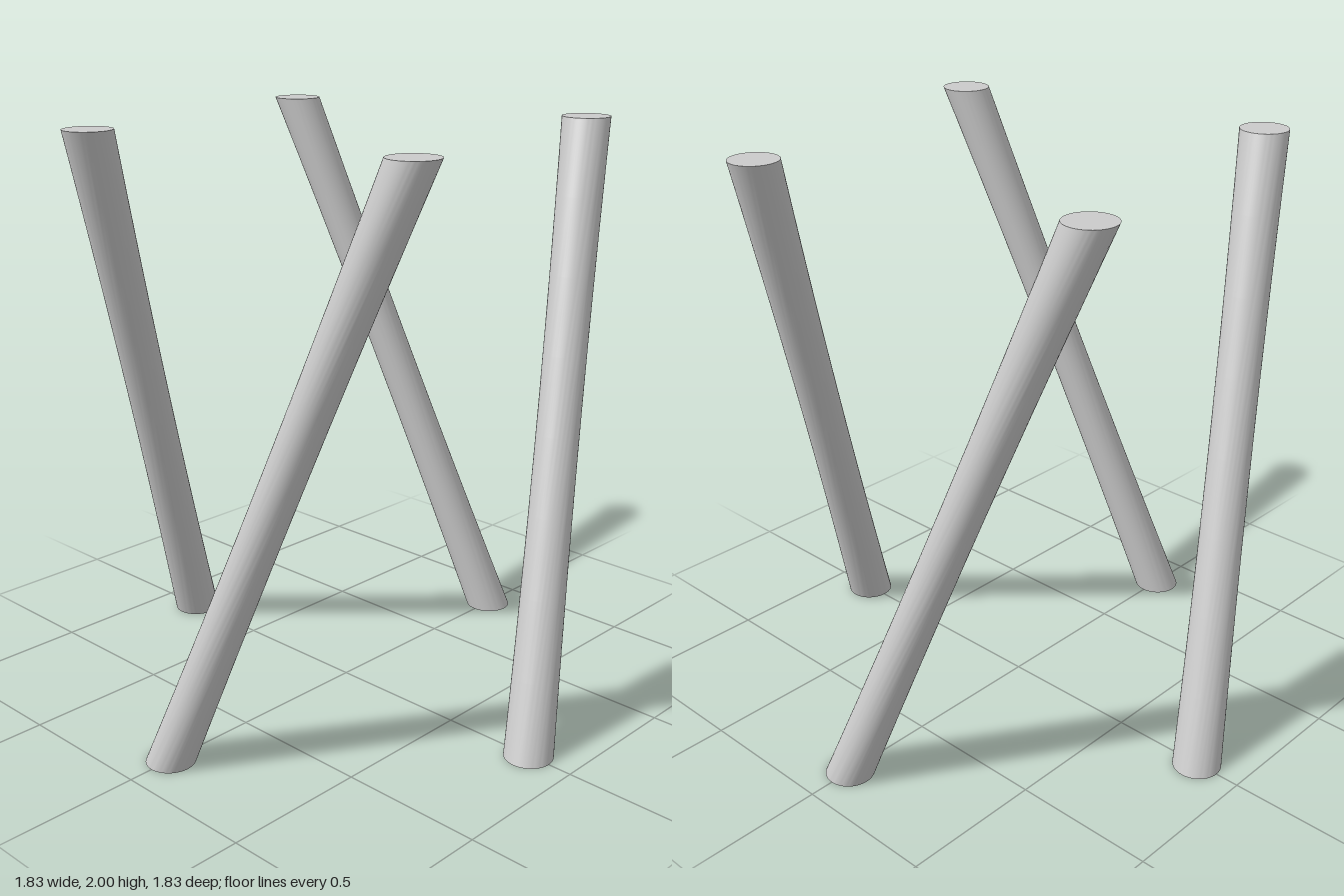
import * as THREE from 'three';
import { toCreasedNormals } from 'three/addons/utils/BufferGeometryUtils.js';

const HEIGHT = 2, RING = 0.833, RADIUS = 0.083;
const TWIST = THREE.MathUtils.degToRad(56.5);

// A rod whose round top is its base turned about the central axis,
// joined by straight lines so that it leans around the ring.
function leaningRod() {
  const geo = new THREE.CylinderGeometry(RADIUS, RADIUS, HEIGHT, 64, 8);
  geo.translate(RING, HEIGHT / 2, 0);
  const pos = geo.attributes.position;
  const base = new THREE.Vector3(), top = new THREE.Vector3();
  const up = new THREE.Vector3(0, 1, 0);
  for (let i = 0; i < pos.count; i++) {
    base.fromBufferAttribute(pos, i);
    top.copy(base).applyAxisAngle(up, TWIST);
    base.lerp(top, base.y / HEIGHT);
    pos.setXYZ(i, base.x, base.y, base.z);
  }
  return toCreasedNormals(geo, Math.PI / 6);
}

export function createModel() {
  const group = new THREE.Group();
  group.name = 'leaningRods';
  const material = new THREE.MeshStandardMaterial({ color: 0xcccccc });
  const geometry = leaningRod();

  // Four equal rods, a quarter turn apart
  ['leftRod', 'backRod', 'rightRod', 'frontRod'].forEach((name, i) => {
    const rod = new THREE.Mesh(geometry, material);
    rod.name = name;
    rod.rotation.y = i * Math.PI / 2;
    group.add(rod);
  });
  return group;
}
